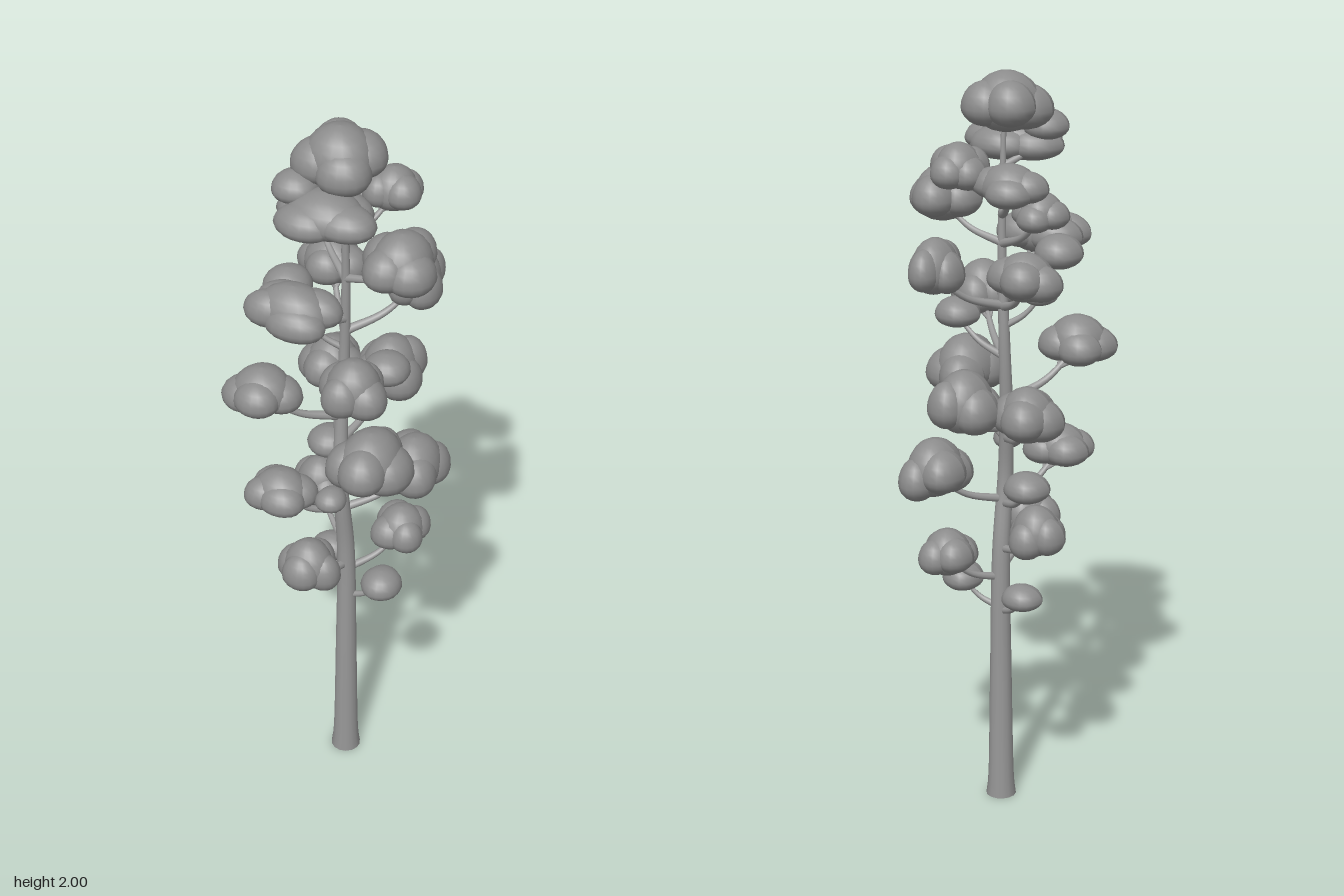
import * as THREE from 'three';
import { mergeGeometries } from 'three/addons/utils/BufferGeometryUtils.js';

const bark = new THREE.MeshStandardMaterial({ name: 'bark grey', color: 0x999999 });
const leaf = new THREE.MeshStandardMaterial({ name: 'foliage grey', color: 0x8c8c8c });

// foliage pads: centre x, y, z, half width x, half width z, height
const lowerPads = [
  [-0.085, 0.63, -0.08, 0.055, 0.05, 0.07],
  [0.11, 0.635, 0.01, 0.055, 0.06, 0.08],
  [-0.02, 0.78, 0.18, 0.09, 0.085, 0.145],
  [-0.13, 0.83, -0.1, 0.085, 0.085, 0.14],
  [0.11, 0.745, -0.11, 0.085, 0.09, 0.13],
  [-0.11, 0.955, -0.12, 0.06, 0.06, 0.08],
  [-0.11, 0.98, 0.16, 0.1, 0.09, 0.12],
  [0.03, 0.99, 0.15, 0.04, 0.045, 0.06],
  [0.145, 0.975, -0.105, 0.1, 0.12, 0.16],
  [0.155, 1.175, 0.175, 0.11, 0.13, 0.165],
  [-0.13, 1.17, -0.18, 0.095, 0.1, 0.15],
  [0.03, 1.195, -0.2, 0.1, 0.11, 0.17],
];
const upperPads = [
  [-0.16, 1.28, 0.155, 0.105, 0.1, 0.13],
  [0.11, 1.39, 0.185, 0.095, 0.095, 0.15],
  [-0.1, 1.43, 0.02, 0.045, 0.05, 0.055],
  [0.13, 1.36, 0.035, 0.06, 0.06, 0.08],
  [-0.06, 1.56, 0.17, 0.13, 0.095, 0.13],
  [0.125, 1.525, -0.145, 0.08, 0.105, 0.15],
  [-0.11, 1.515, -0.14, 0.1, 0.09, 0.13],
  [-0.14, 1.54, 0.045, 0.064, 0.064, 0.09],
  [0.16, 1.675, 0.02, 0.105, 0.115, 0.15],
  [-0.14, 1.68, -0.11, 0.075, 0.08, 0.1],
  [-0.07, 1.745, -0.14, 0.1, 0.09, 0.11],
  [0, 1.81, 0.11, 0.14, 0.11, 0.12],
  [0.07, 1.78, -0.12, 0.08, 0.085, 0.12],
  [-0.09, 1.855, 0.09, 0.06, 0.06, 0.08],
  [-0.01, 1.92, 0.015, 0.12, 0.115, 0.16],
];

let seed = 7;
const rnd = () => (seed = (seed * 16807) % 2147483647) / 2147483647;
const V = (x, y, z) => new THREE.Vector3(x, y, z);

// tube along a curve whose radius follows radiusAt(t)
function taperedTube(curve, radiusAt, segments, sides) {
  const g = new THREE.TubeGeometry(curve, segments, 1, sides);
  const p = g.attributes.position, n = g.attributes.normal;
  for (let i = 0; i < p.count; i++) {
    const t = Math.floor(i / (sides + 1)) / segments;
    const c = curve.getPointAt(t), r = radiusAt(t);
    p.setXYZ(i, c.x + n.getX(i) * r, c.y + n.getY(i) * r, c.z + n.getZ(i) * r);
  }
  return g;
}

// one rounded lobe with a flattened underside and slightly uneven surface
function lobe(x, y, z, rx, h, rz) {
  const g = new THREE.SphereGeometry(1, 18, 12);
  const p = g.attributes.position, phase = rnd() * 6.28;
  for (let i = 0; i < p.count; i++) {
    const a = p.getX(i), b = p.getY(i), c = p.getZ(i);
    const k = 1 + 0.035 * Math.sin(4 * a + phase) * Math.cos(3 * c + phase);
    p.setXYZ(i, x + a * rx * k, y + b * h * (b > 0 ? 0.58 : 0.42), z + c * rz * k);
  }
  g.computeVertexNormals();
  return g;
}

export function createModel() {
  const tree = new THREE.Group();
  tree.name = 'tree';
  const add = (geometry, material, name) => {
    const m = new THREE.Mesh(geometry, material);
    m.name = name;
    tree.add(m);
    return m;
  };

  // trunk: gently bent, flared at the foot
  const trunkLine = new THREE.CatmullRomCurve3([
    V(0.002, 0, 0.01), V(0.003, 0.35, 0.01), V(0.002, 0.72, 0.01), V(-0.004, 0.93, 0.028),
    V(-0.014, 1.1, 0.005), V(-0.014, 1.3, -0.012), V(-0.005, 1.55, -0.005), V(-0.005, 1.9, 0.01),
  ]);
  const trunkRadius = (t) => 0.035 - 0.029 * t + 0.006 * Math.exp(-t * 60);
  add(taperedTube(trunkLine, trunkRadius, 60, 14), bark, 'trunk');
  const foot = add(new THREE.CircleGeometry(0.041, 14), bark, 'trunkBase');
  foot.rotation.x = Math.PI / 2;
  foot.position.set(0.002, 0, 0.01);

  [...lowerPads, ...upperPads].forEach(([x, y, z, rx, rz, h], i) => {
    // foliage: a broad centre lobe ringed by lower ones
    const lobes = [], tips = [];
    if (Math.max(rx, rz) < 0.065) {
      lobes.push(lobe(x, y - h * 0.08, z, rx, h, rz));
    } else {
      lobes.push(lobe(x, y - h * 0.06, z, rx * 0.74, h * 0.96, rz * 0.74));
      const start = rnd() * 6.28;
      for (let k = 0; k < 4; k++) {
        const a = start + (k + 0.3 * rnd()) * Math.PI / 2;
        const s = 0.52 + rnd() * 0.1;
        const lx = x + Math.cos(a) * rx * (1 - s), lz = z + Math.sin(a) * rz * (1 - s);
        const ly = y - h * (0.02 + 0.16 * rnd());
        lobes.push(lobe(lx, ly, lz, rx * s, h * 0.72, rz * s));
        tips.push(V(lx, ly, lz));
      }
    }
    add(mergeGeometries(lobes), leaf, 'foliagePad' + (i + 1));

    // branch: leaves the trunk outward and curls up into the pad
    const reach = Math.hypot(x, z);
    if (reach < 0.05) return;
    const from = trunkLine.getPointAt(Math.min(0.97, (y - 0.03 - reach * 0.45) / 1.91));
    const to = V(x, y - h * 0.15, z);
    const mid = from.clone().lerp(to, 0.55);
    mid.y -= reach * 0.12;
    const line = new THREE.CatmullRomCurve3([from, mid, to]);
    const thick = 0.007 + reach * 0.028;
    const wood = [taperedTube(line, (t) => thick * (1 - 0.55 * t), 12, 8)];
    // twigs fan out to the ring lobes
    const fork = line.getPointAt(0.68);
    for (const tip of tips) {
      const bend = fork.clone().lerp(tip, 0.5);
      bend.y -= 0.008;
      const twig = new THREE.CatmullRomCurve3([fork, bend, tip]);
      wood.push(taperedTube(twig, (t) => 0.005 - 0.002 * t, 6, 6));
    }
    add(mergeGeometries(wood), bark, 'branch' + (i + 1));
  });
  return tree;
}
